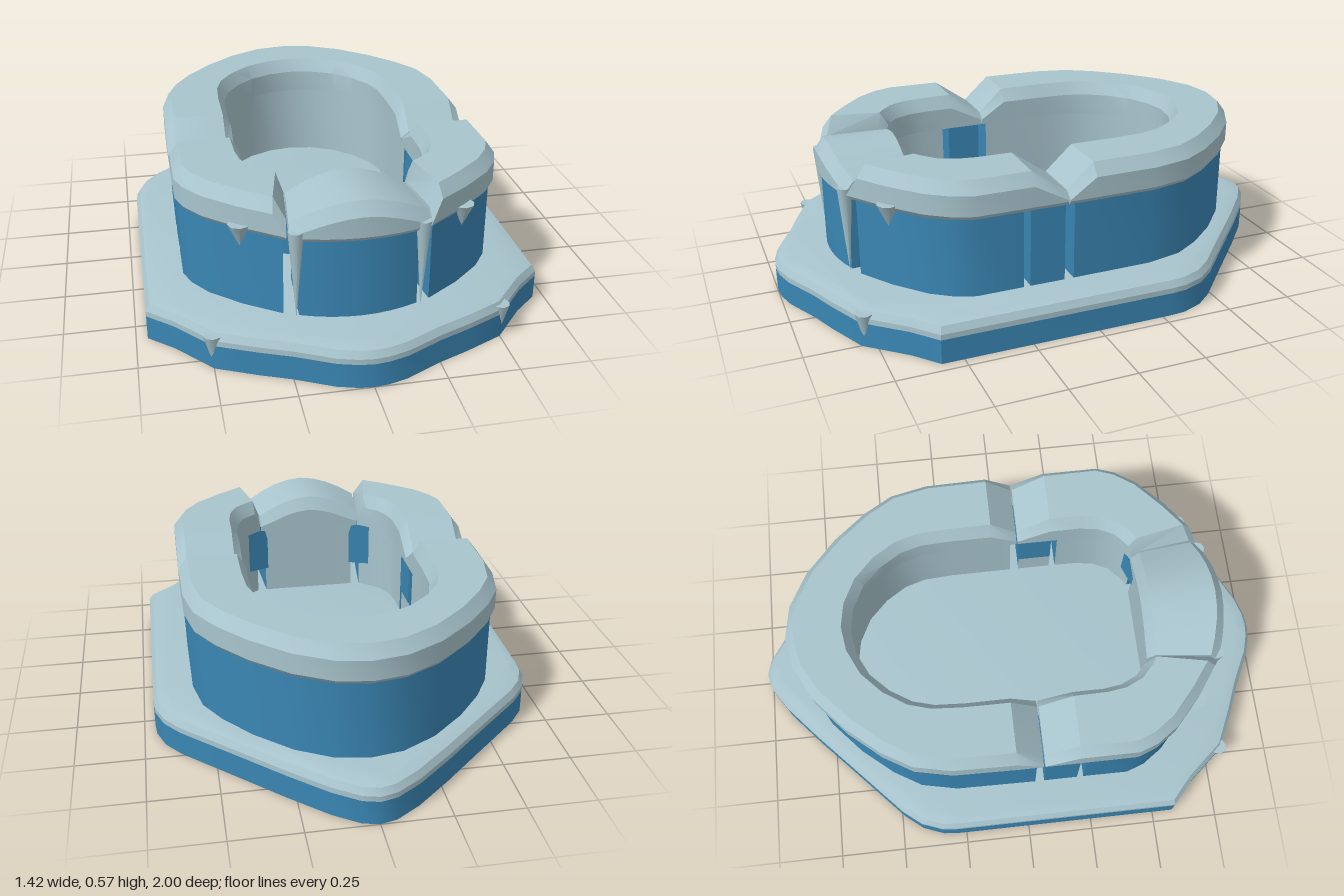
import * as THREE from 'three';
import { toCreasedNormals } from 'three/addons/utils/BufferGeometryUtils.js';

const ice = new THREE.MeshStandardMaterial({ color: 0xa8c4cd });
ice.name = 'pale frost';
const blue = new THREE.MeshStandardMaterial({ color: 0x3a86b4 });
blue.name = 'deep blue';

const TOP = 0.57, NOTCH = 0.48;

// Right half of the ring, back to front: outer x, outer z, inner x, inner z
const backArc = [
  [0, -0.845, 0, -0.6], [0.12, -0.825, 0.09, -0.585], [0.25, -0.755, 0.18, -0.54],
  [0.38, -0.64, 0.25, -0.47], [0.48, -0.52, 0.3, -0.39], [0.545, -0.41, 0.322, -0.31],
  [0.575, -0.27, 0.328, -0.2],
];
const frontArc = [
  [0.58, 0.41, 0.328, 0.31], [0.555, 0.48, 0.318, 0.38], [0.5, 0.56, 0.29, 0.44],
  [0.39, 0.66, 0.25, 0.475],
];
const straight = (z, h = TOP) => [0.58, z, 0.328, z, h];

const mirrorPath = path => path.map(([a, b, c, d, h]) => [-a, b, -c, d, h]).reverse();

// Skin a row of cross-sections; edgeMaterials holds a material index per edge
function loft(sections, edgeMaterials) {
  const pos = [], geo = new THREE.BufferGeometry(), n = sections[0].length;
  const tri = (...pts) => pts.forEach(p => pos.push(p.x, p.y, p.z));
  const last = sections.length - 1;
  for (let j = 0; j < n; j++) {
    const start = pos.length / 3, k = (j + 1) % n;
    for (let i = 0; i < last; i++) {
      const [s, t] = [sections[i], sections[i + 1]];
      tri(s[j], s[k], t[k]);
      tri(s[j], t[k], t[j]);
    }
    geo.addGroup(start, pos.length / 3 - start, edgeMaterials ? edgeMaterials[j] : 0);
  }
  const start = pos.length / 3;
  for (let j = 1; j < n - 1; j++) {
    tri(sections[0][0], sections[0][j + 1], sections[0][j]);
    tri(sections[last][0], sections[last][j], sections[last][j + 1]);
  }
  geo.addGroup(start, pos.length / 3 - start, 0);
  geo.setAttribute('position', new THREE.Float32BufferAttribute(pos, 3));
  return toCreasedNormals(geo, 0.5);
}

// Points of a section, each given as [side, offset inward, y]
function section([ox, oz, ix, iz], points) {
  const len = Math.hypot(ox - ix, oz - iz), dx = (ox - ix) / len, dz = (oz - iz) / len;
  return points.map(([side, off, y]) => side === 'out'
    ? new THREE.Vector3(ox - dx * off, y, oz - dz * off)
    : new THREE.Vector3(ix + dx * off, y, iz + dz * off));
}

const wallGeometry = path => loft(path.map(s => section(s, [
  ['out', 0.015, 0.13], ['out', 0.015, 0.45], ['in', 0.022, 0.45], ['in', 0.022, 0.13],
])), [0, 0, 1, 0]);

const capGeometry = path => loft(path.map(s => {
  const h = s[4] ?? TOP;
  return section(s, [
    ['out', 0.012, 0.435], ['out', 0, 0.45], ['out', 0, Math.max(0.455, h - 0.045)],
    ['out', 0.035, h], ['in', 0.03, h], ['in', 0, Math.max(0.455, h - 0.05)], ['in', 0, 0.435],
  ]);
}));

// Base outline, right half, back to front
const baseHalf = [
  [0, -1], [0.06, -0.985], [0.15, -0.925], [0.28, -0.81], [0.46, -0.64], [0.62, -0.49],
  [0.675, -0.42], [0.705, -0.34], [0.71, -0.28], [0.71, 0.58], [0.62, 0.66], [0.5, 0.8],
  [0.36, 0.865], [0.25, 0.91], [0.12, 0.975], [0.05, 0.995], [0, 1],
];
function baseShape() {
  const left = baseHalf.slice(1, -1).reverse().map(([x, z]) => [-x, z]);
  return new THREE.Shape([...baseHalf, ...left].map(([x, z]) => new THREE.Vector2(x, -z)));
}

export function createModel() {
  const root = new THREE.Group();
  root.name = 'iceRing';
  const add = (name, geo, mat, x = 0, y = 0, z = 0) => {
    const mesh = new THREE.Mesh(geo, mat);
    mesh.name = name;
    mesh.position.set(x, y, z);
    root.add(mesh);
    return mesh;
  };
  const wall = (name, path) => add(name, wallGeometry(path), [blue, ice]);
  const cap = (name, path) => add(name, capGeometry(path), ice);

  // Pointed base slab with a bevelled frost layer
  const slab = new THREE.ExtrudeGeometry(baseShape(), { depth: 0.09, bevelEnabled: false });
  add('baseSlab', toCreasedNormals(slab.rotateX(-Math.PI / 2), 0.6), blue);
  const frost = new THREE.ExtrudeGeometry(baseShape(), {
    depth: 0.02, bevelThickness: 0.035, bevelSize: 0.05, bevelOffset: -0.05, bevelSegments: 2,
  });
  add('baseFrost', toCreasedNormals(frost.rotateX(-Math.PI / 2), 0.5), ice, 0, 0.09, 0);

  // Horseshoe at the back
  const halfWall = [...backArc, straight(0.04)];
  const halfCap = [...backArc, straight(-0.035), straight(0.063, NOTCH)];
  wall('backWall', [...mirrorPath(halfWall).slice(0, -1), ...halfWall]);
  cap('backCap', [...mirrorPath(halfCap).slice(0, -1), ...halfCap]);

  // Curved blocks on both sides, split by narrow slits
  const pillar = [straight(0.075), straight(0.205)];
  const sideWall = [straight(0.23), ...frontArc, [0.255, 0.75, 0.225, 0.498]];
  const sideCap = [straight(0.068, NOTCH), straight(0.195), ...frontArc,
    [0.285, 0.735, 0.235, 0.488], [0.245, 0.765, 0.213, 0.503, 0.5]];
  for (const side of [1, -1]) {
    const label = side > 0 ? 'left' : 'right';
    const place = path => (side > 0 ? path : mirrorPath(path));
    wall(label + 'Pillar', place(pillar));
    wall(label + 'FrontWall', place(sideWall));
    cap(label + 'FrontCap', place(sideCap));

    // Bare blue patches on the inner wall
    add(label + 'PillarPatch', new THREE.BoxGeometry(0.006, 0.19, 0.13), blue, side * 0.348, 0.345, 0.14);
    const tri = new THREE.Shape([[-0.1, 0], [0.1, 0], [0.04, 0.2], [-0.04, 0.2]].map(p => new THREE.Vector2(...p)));
    const patch = add(label + 'JointPatch', new THREE.ExtrudeGeometry(tri, { depth: 0.008, bevelEnabled: false }),
      blue, side * 0.235, 0.25, 0.502);
    patch.rotation.y = side * 0.35;

    // Icicles: x, z, top, length, radius
    const icicles = [
      [0.385, 0.655, 0.46, 0.085, 0.04], [0.215, 0.765, 0.47, 0.33, 0.027],
      [0.5, 0.785, 0.125, 0.12, 0.032],
    ];
    for (const [x, z, top, length, radius] of icicles) {
      const cone = new THREE.ConeGeometry(radius, length, 8).rotateX(Math.PI);
      add(label + 'Icicle', cone, ice, side * x, top - length / 2, z);
    }
  }

  // Front block with an arched cap
  const frontPath = (w, inner, arch) => Array.from({ length: 9 }, (_, i) => {
    const t = 1 - i / 4;
    return [w * t, 0.812 - 0.042 * t * t, inner * t, 0.5, TOP - arch * Math.abs(t) ** 1.8];
  });
  wall('frontWall', frontPath(0.205, 0.19, 0));
  cap('frontCap', frontPath(0.238, 0.208, 0.075));

  return root;
}
